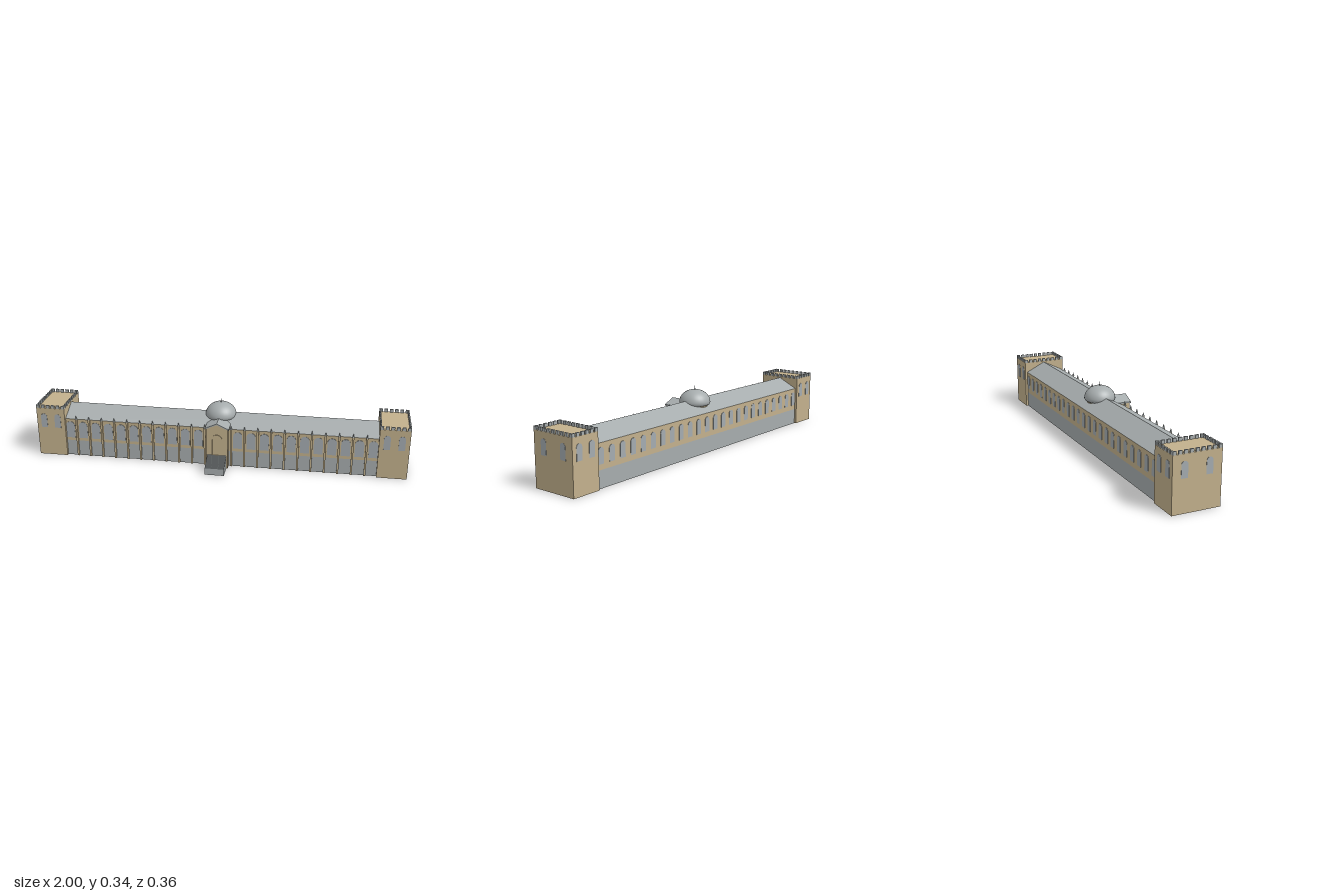
import * as THREE from 'three';

const mat = (name, color, side = THREE.FrontSide) => {
  const m = new THREE.MeshStandardMaterial({ color, side });
  m.name = name;
  return m;
};

export function createModel() {
  const root = new THREE.Group();
  root.name = 'longHall';
  const stone = mat('sandstone', 0xc2b08c, THREE.DoubleSide);
  const grey = mat('slate grey', 0xa6acad, THREE.DoubleSide);
  const glass = mat('window grey', 0xa4abb0);

  const add = (name, geo, material, x = 0, y = 0, z = 0, parent = root) => {
    const m = new THREE.Mesh(geo, material);
    m.name = name;
    m.position.set(x, y, z);
    parent.add(m);
    return m;
  };
  // Box given by its limits
  const box = (name, material, x0, x1, y0, y1, z0, z1, openBottom = false, parent = root) => {
    const g = new THREE.BoxGeometry(x1 - x0, y1 - y0, z1 - z0);
    if (openBottom) {
      const idx = Array.from(g.index.array);
      idx.splice(18, 6);
      g.setIndex(idx);
      g.clearGroups();
    }
    return add(name, g, material, (x0 + x1) / 2, (y0 + y1) / 2, (z0 + z1) / 2, parent);
  };
  // Thin round-headed plate standing on its base line, facing +z
  const archShape = (w, h) => {
    const s = new THREE.Shape();
    s.moveTo(-w / 2, 0);
    s.lineTo(w / 2, 0);
    s.lineTo(w / 2, h - w / 2);
    s.absarc(0, h - w / 2, w / 2, 0, Math.PI, false);
    s.lineTo(-w / 2, 0);
    return s;
  };
  const plate = (shape, depth) =>
    new THREE.ExtrudeGeometry(shape, { depth, bevelEnabled: false, curveSegments: 8 });
  const polygon = (pts) => new THREE.Shape(pts.map(([a, b]) => new THREE.Vector2(a, b)));

  // Long wing: grey lower storey, stone upper storey, pitched roof
  const L = 0.845, zF = 0.055, zB = -0.165, mid = -0.055, eave = 0.215, floor = 0.088;
  box('lowerStorey', grey, -L, L, 0, floor - 0.004, zB, zF, true);
  box('storeyFloor', grey, -L, L, floor - 0.004, floor, zB, zF);
  box('upperStorey', stone, -L, L, floor, eave, zB, zF, true);
  const roof = plate(polygon([[-zF, eave], [-zB, eave], [-mid, 0.27]]), 2 * L);
  roof.rotateY(Math.PI / 2);
  add('roof', roof, grey, -L, 0, 0);

  // Wing windows, one per bay
  const pitch = 0.0711;
  const frontWindow = plate(archShape(0.048, 0.095), 0.002);
  const backWindow = plate(archShape(0.035, 0.08), 0.002);
  for (let k = -12; k < 12; k++) {
    const x = (k + 0.5) * pitch;
    if (Math.abs(x) > 0.83) continue;
    if (Math.abs(x) > 0.06) add('frontWindow', frontWindow, glass, x, 0.105, zF);
    add('backWindow', backWindow, glass, x, 0.115, zB).rotation.y = Math.PI;
  }

  // Buttresses with pinnacles
  const pinnacle = new THREE.ConeGeometry(0.007, 0.022, 4);
  pinnacle.rotateY(Math.PI / 4);
  for (let k = 1; k <= 11; k++) {
    for (const s of [-1, 1]) {
      const x = s * k * pitch;
      box('buttress', stone, x - 0.005, x + 0.005, 0, eave, zF, zF + 0.008);
      add('pinnacle', pinnacle, grey, x, eave + 0.011, zF + 0.004);
    }
  }

  // End towers with battlements
  const tF = 0.07, tB = -0.177, tTop = 0.275, x0 = 0.843, x1 = 1;
  const towerWindow = plate(archShape(0.034, 0.079), 0.002);
  const merlonGeo = new THREE.BoxGeometry(0.018, 0.017, 0.008);
  for (const s of [-1, 1]) {
    const tower = new THREE.Group();
    tower.name = s > 0 ? 'leftTower' : 'rightTower';
    root.add(tower);
    const cx = s * (x0 + x1) / 2;
    box('towerWalls', stone, cx - 0.0785, cx + 0.0785, 0, tTop, tB, tF, true, tower);
    const merlon = (x, z, turn) => {
      add('merlon', merlonGeo, grey, x, tTop + 0.0085, z, tower).rotation.y = turn;
    };
    for (let i = 0; i < 6; i++) {
      const x = cx - 0.0695 + i * 0.0278;
      merlon(x, tF - 0.004, 0);
      merlon(x, tB + 0.004, 0);
    }
    for (let i = 0; i < 9; i++) {
      const z = tB + 0.009 + i * 0.0286;
      merlon(cx - 0.0745, z, Math.PI / 2);
      merlon(cx + 0.0745, z, Math.PI / 2);
    }
    for (const dx of [-0.038, 0.038]) {
      add('towerWindow', towerWindow, glass, cx + dx, 0.164, tF, tower);
      add('towerWindow', towerWindow, glass, cx + dx, 0.164, tB, tower).rotation.y = Math.PI;
    }
    for (const z of [0.008, -0.117]) {
      add('towerWindow', towerWindow, glass, s * 0.999, 0.164, z, tower).rotation.y = s * Math.PI / 2;
    }
  }

  // Entrance porch with gabled roof
  const pF = 0.095;
  const porch = plate(polygon([[-0.058, 0], [0.058, 0], [0.058, 0.225], [0, 0.252], [-0.058, 0.225]]), pF - 0.04);
  add('porch', porch, stone, 0, 0, 0.04);
  const porchRoof = plate(polygon([[-0.064, 0.224], [0, 0.253], [0.064, 0.224], [0.064, 0.231], [0, 0.26], [-0.064, 0.231]]), 0.11);
  add('porchRoof', porchRoof, grey, 0, 0, -0.011);
  const frame = archShape(0.058, 0.118);
  frame.holes.push(archShape(0.048, 0.112));
  add('doorFrame', plate(frame, 0.003), stone, 0, 0.077, pF);

  // Entrance stairs
  const steps = 14, run = 0.085 / steps, rise = 0.04 / steps;
  const stair = [[-pF, 0], [-pF, 0.077]];
  for (let i = 0; i < steps; i++) {
    const z = pF + (i + 1) * run;
    stair.push([-z, 0.077 - i * rise], [-z, 0.077 - (i + 1) * rise]);
  }
  stair.push([-(pF + 0.085), 0]);
  const stairGeo = plate(polygon(stair), 0.102);
  stairGeo.rotateY(Math.PI / 2);
  add('stairs', stairGeo, grey, -0.051, 0, 0);

  // Dome on a round drum, with a finial
  const dz = -0.055;
  add('domeDrum', new THREE.CylinderGeometry(0.07, 0.07, 0.06, 32), stone, 0, 0.222, dz);
  const profile = [new THREE.Vector2(0.068, 0.24), new THREE.Vector2(0.079, 0.246)];
  for (let i = 0; i <= 12; i++) {
    const a = (i / 12) * Math.PI / 2;
    profile.push(new THREE.Vector2(Math.max(0.083 * Math.cos(a), 0), 0.255 + 0.068 * Math.sin(a)));
  }
  add('dome', new THREE.LatheGeometry(profile, 32), grey, 0, 0, dz);
  add('finial', new THREE.ConeGeometry(0.004, 0.025, 8), grey, 0, 0.3325, dz);

  return root;
}
